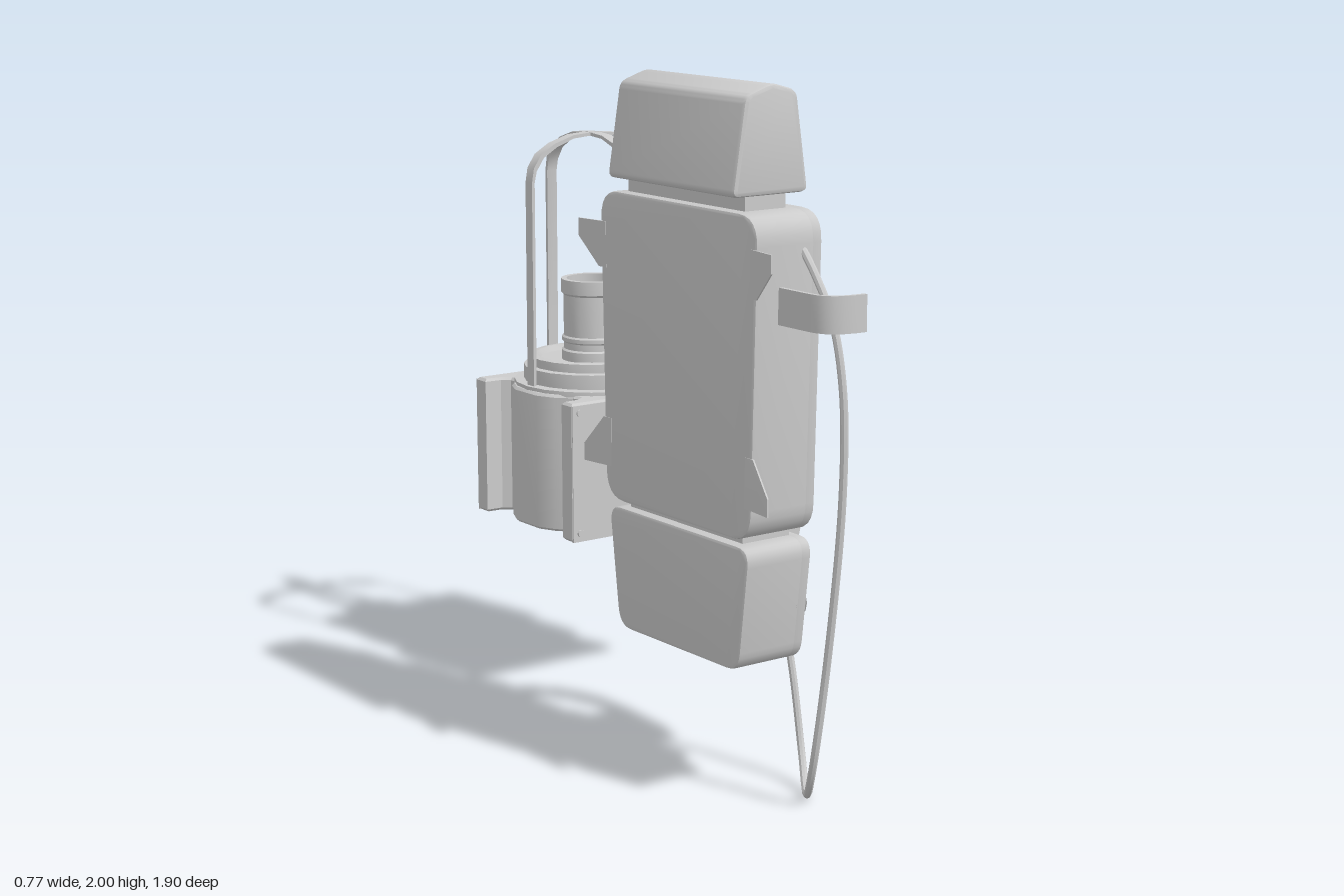
import * as THREE from 'three';
import { toCreasedNormals } from 'three/addons/utils/BufferGeometryUtils.js';

const material = new THREE.MeshStandardMaterial({ color: 0xcccccc, side: THREE.DoubleSide });

function add(parent, name, geometry, x = 0, y = 0, z = 0) {
  const mesh = new THREE.Mesh(toCreasedNormals(geometry, 0.6), material);
  mesh.name = name;
  mesh.position.set(x, y, z);
  parent.add(mesh);
  return mesh;
}

// Polygon with each corner rounded by radius r.
function outline(points, r = 0) {
  const p = points.map(([x, y]) => new THREE.Vector2(x, y));
  if (!r) return new THREE.Shape(p);
  const shape = new THREE.Shape();
  p.forEach((c, i) => {
    const before = p[(i + p.length - 1) % p.length], after = p[(i + 1) % p.length];
    const a = c.clone().add(before.clone().sub(c).setLength(r));
    const b = c.clone().add(after.clone().sub(c).setLength(r));
    if (i) shape.lineTo(a.x, a.y); else shape.moveTo(a.x, a.y);
    shape.quadraticCurveTo(c.x, c.y, b.x, b.y);
  });
  shape.closePath();
  return shape;
}

function extrude(shape, depth, bevel = 0, segments = 2) {
  const g = new THREE.ExtrudeGeometry(shape, {
    depth: depth - 2 * bevel, bevelEnabled: bevel > 0, bevelSize: bevel, bevelThickness: bevel,
    bevelOffset: -bevel, bevelSegments: segments, curveSegments: 6,
  });
  return g.translate(0, 0, bevel);
}

// Extrudes a (-z, y) outline along +x.
const alongX = (shape, x0, x1, bevel) => extrude(shape, x1 - x0, bevel).rotateY(Math.PI / 2).translate(x0, 0, 0);

// Raised panel with sloping sides on a surface at x0.
function raised(points, x0, height, inset) {
  return new THREE.ExtrudeGeometry(outline(points), {
    depth: 0.001, bevelSize: inset, bevelThickness: height, bevelOffset: -inset, bevelSegments: 1,
  }).rotateY(Math.PI / 2).translate(x0, 0, 0);
}

// Housing with round recesses in its front.
function housing(parent, name, points, r, holes) {
  add(parent, name + 'Back', alongX(outline(points, r), -0.36, -0.165, 0.008));
  const front = outline(points, r);
  for (const [u, y] of holes) front.holes.push(new THREE.Path().absarc(u, y, 0.038, 0, Math.PI * 2, true));
  add(parent, name + 'Front', alongX(front, -0.176, -0.14, 0.008));
}

function createWallUnit() {
  const unit = new THREE.Group();
  unit.name = 'wallUnit';

  housing(unit, 'mainHousing', [[-0.71, 0.785], [-0.04, 0.785], [-0.018, 1.67], [-0.738, 1.67]], 0.085,
    [[-0.67, 1.6], [-0.105, 1.6], [-0.655, 0.85], [-0.1, 0.85]]);
  housing(unit, 'lowerHousing', [[-0.66, 0.415], [-0.1, 0.415], [-0.053, 0.768], [-0.706, 0.768]], 0.055,
    [[-0.637, 0.58], [-0.12, 0.58]]);

  // Raised front panels
  add(unit, 'mainPanel', raised([[-0.59, 0.79], [-0.165, 0.79], [-0.165, 0.885], [-0.1, 0.95], [-0.1, 1.5],
    [-0.165, 1.575], [-0.59, 1.575], [-0.66, 1.5], [-0.66, 0.95], [-0.59, 0.885]], -0.14, 0.055, 0.035));
  add(unit, 'lowerPanel', raised([[-0.565, 0.435], [-0.19, 0.435], [-0.182, 0.742], [-0.573, 0.742]], -0.14, 0.055, 0.028));

  // Top cap and the two necks
  const cap = outline([[-0.387, 1.71], [-0.133, 1.71], [-0.172, 1.982], [-0.255, 2.005], [-0.345, 1.975]], 0.022);
  add(unit, 'topCap', extrude(cap, 0.575, 0.012), 0, 0, 0.092);
  add(unit, 'topNeck', new THREE.BoxGeometry(0.135, 0.08, 0.53), -0.262, 1.69, 0.38);
  add(unit, 'lowerNeck', new THREE.BoxGeometry(0.16, 0.06, 0.52), -0.25, 0.777, 0.38);

  // Cover on the side of the lower housing
  const cover = add(unit, 'sideCover', new THREE.BoxGeometry(0.11, 0.16, 0.012), -0.26, 0.6, 0.077);
  cover.rotation.x = -0.13;

  // Upper handle mount in three tiers
  add(unit, 'upperMountBase', raised([[-0.535, 1.18], [-0.215, 1.18], [-0.185, 1.245], [-0.335, 1.495],
    [-0.425, 1.495], [-0.57, 1.245]], -0.085, 0.018, 0.012));
  add(unit, 'upperMountBody', alongX(outline([[-0.51, 1.2], [-0.24, 1.2], [-0.215, 1.25], [-0.342, 1.475],
    [-0.415, 1.475], [-0.54, 1.25]]), -0.08, -0.04));
  add(unit, 'upperMountTip', raised([[-0.47, 1.235], [-0.285, 1.235], [-0.285, 1.28], [-0.345, 1.415],
    [-0.41, 1.415], [-0.47, 1.28]], -0.04, 0.026, 0.012));

  // Lower handle mount with an open socket
  const socket = outline([[-0.435, 0.515], [-0.32, 0.515], [-0.26, 0.703], [-0.495, 0.703]], 0.012);
  socket.holes.push(new THREE.Path([[-0.42, 0.545], [-0.335, 0.545], [-0.295, 0.685], [-0.46, 0.685]]
    .map(([u, y]) => new THREE.Vector2(u, y))));
  add(unit, 'lowerMount', alongX(socket, -0.09, 0));
  add(unit, 'lowerMountStub', new THREE.BoxGeometry(0.07, 0.14, 0.095), -0.045, 0.63, 0.378);

  // Bowed handle
  const bow = new THREE.Shape();
  bow.moveTo(-0.03, 1.25);
  bow.bezierCurveTo(0.06, 1.21, 0.095, 1.08, 0.093, 0.96);
  bow.bezierCurveTo(0.088, 0.8, 0.04, 0.65, 0.018, 0.555);
  bow.lineTo(-0.02, 0.56);
  bow.lineTo(-0.025, 0.7);
  bow.bezierCurveTo(0.02, 0.78, 0.036, 0.88, 0.036, 0.98);
  bow.bezierCurveTo(0.036, 1.08, 0.01, 1.17, -0.04, 1.21);
  add(unit, 'handle', new THREE.ExtrudeGeometry(bow, { depth: 0.065, bevelEnabled: false, curveSegments: 12 }), 0, 0, 0.345);

  // Hanging cord
  const path = new THREE.CatmullRomCurve3([[-0.2, 1.57, 0.725], [-0.197, 1.52, 0.765], [-0.187, 1.395, 0.835],
    [-0.175, 1.21, 0.868], [-0.165, 0.92, 0.86], [-0.163, 0.44, 0.8], [-0.158, 0.095, 0.73], [-0.11, 0.013, 0.65],
    [-0.058, 0.095, 0.565], [-0.047, 0.33, 0.505], [-0.055, 0.58, 0.445]].map(p => new THREE.Vector3(...p)));
  add(unit, 'cord', new THREE.TubeGeometry(path, 70, 0.011, 8));

  // Curved cord clip, bent from a strip
  const clip = new THREE.Shape();
  clip.moveTo(-0.284, -0.71);
  clip.lineTo(-0.284, -0.86);
  clip.quadraticCurveTo(-0.284, -0.948, -0.163, -0.948);
  clip.lineTo(-0.163, -0.936);
  clip.quadraticCurveTo(-0.272, -0.936, -0.272, -0.86);
  clip.lineTo(-0.272, -0.71);
  add(unit, 'cordClip', extrude(clip, 0.1).rotateX(-Math.PI / 2), 0, 1.375, 0);

  // Splayed mounting ears, mirrored about the middle of the unit
  for (const side of [-1, 1]) {
    const ears = [
      [[0.33, 1.45], [0.36, 1.45], [0.44, 1.53], [0.44, 1.58], [0.33, 1.58]],
      [[0.31, 0.88], [0.425, 0.88], [0.425, 0.93], [0.345, 1.02], [0.31, 1.02]],
    ];
    for (const ear of ears) {
      const g = alongX(outline(ear.map(([u, y]) => [u * side, y])), -0.361, -0.356);
      const pos = g.attributes.position;
      for (let i = 0; i < pos.count; i++) {
        const out = Math.max(0, Math.abs(pos.getZ(i)) - 0.34);
        pos.setX(i, pos.getX(i) - 0.17 * out);
      }
      add(unit, 'mountingEar', g, 0, 0, 0.378);
    }
  }
  return unit;
}

function createLamp() {
  const lamp = new THREE.Group();
  lamp.name = 'cagedLamp';
  lamp.position.set(0.088, 0, -0.671);

  // Base: bulged sides between flanged end plates
  const quarter = [[0.267, 0.268], [0.267, 0.215], [0.212, 0.212], [0.187, 0.192], [0.19, 0.162], [0.23, 0.12], [0.257, 0.06]];
  const half = [...quarter, ...quarter.map(([x, z]) => [x, -z]).reverse()];
  const plan = [...half, ...half.map(([x, z]) => [-x, -z])];
  add(lamp, 'base', extrude(outline(plan), 0.432, 0.008, 1).rotateX(-Math.PI / 2), 0, 0.525, 0);

  // Cover plates with corner screws
  for (const side of [-1, 1]) {
    add(lamp, 'endPlate', new THREE.BoxGeometry(0.53, 0.425, 0.008), 0, 0.738, side * 0.267);
    for (const x of [-0.24, 0.24]) for (const y of [0.552, 0.928])
      add(lamp, 'plateScrew', new THREE.CylinderGeometry(0.011, 0.011, 0.012, 10).rotateX(Math.PI / 2), x, y, side * 0.271);
  }

  // Stepped collar
  const collar = [[0, 0.95], [0.25, 0.95], [0.25, 0.968], [0.22, 0.97], [0.22, 1.015], [0.202, 1.018],
    [0.202, 1.045], [0.18, 1.048], [0.17, 1.03], [0, 1.03]];
  add(lamp, 'collar', new THREE.LatheGeometry(collar.map(p => new THREE.Vector2(...p)), 20));

  // Hollow burner tube
  const tube = [[0.1, 1.03], [0.1, 1.06], [0.093, 1.065], [0.093, 1.085], [0.099, 1.09], [0.099, 1.102], [0.093, 1.107],
    [0.093, 1.235], [0.1, 1.242], [0.1, 1.285], [0.083, 1.285], [0.083, 1.06], [0, 1.06]];
  add(lamp, 'burnerTube', new THREE.LatheGeometry(tube.map(p => new THREE.Vector2(...p)), 24));

  // Two crossed cage hoops
  const rim = [[0.237, 0.95], [0.235, 1.6], [0.227, 1.645], [0.2, 1.685], [0.15, 1.715], [0.08, 1.737], [0, 1.743]];
  const arch = inset => {
    const right = rim.map(([x, y], i) => [x - inset * (i < 5 ? 1 : 0.2 * (6 - i)), y - (i < 2 ? 0 : inset)]);
    return [...right, ...right.slice(0, -1).reverse().map(([x, y]) => [-x, y])];
  };
  const hoop = outline([...arch(0), ...arch(0.01).reverse()]);
  for (const turn of [0, Math.PI / 2])
    add(lamp, 'cageHoop', extrude(hoop, 0.036).translate(0, 0, -0.018).rotateY(turn));

  // Service plate and threaded studs on the side
  add(lamp, 'servicePlate', alongX(outline([[-0.048, 0.535], [0.048, 0.535], [0.048, 0.748], [-0.048, 0.748]], 0.02), 0.25, 0.268));
  for (const z of [-0.033, 0.033]) for (const y of [0.552, 0.73])
    add(lamp, 'serviceScrew', new THREE.CylinderGeometry(0.006, 0.006, 0.008, 8).rotateZ(Math.PI / 2), 0.27, y, z);
  for (const z of [-0.117, 0.114]) {
    add(lamp, 'stud', new THREE.CylinderGeometry(0.012, 0.012, 0.12, 12).rotateZ(Math.PI / 2), 0.235, 0.645, z);
    for (let i = 0; i < 4; i++)
      add(lamp, 'studThread', new THREE.CylinderGeometry(0.016, 0.016, 0.009, 12).rotateZ(Math.PI / 2), 0.25 + i * 0.014, 0.645, z);
  }
  return lamp;
}

export function createModel() {
  const model = new THREE.Group();
  model.name = 'wallUnitAndLamp';
  model.add(createWallUnit(), createLamp());
  return model;
}
